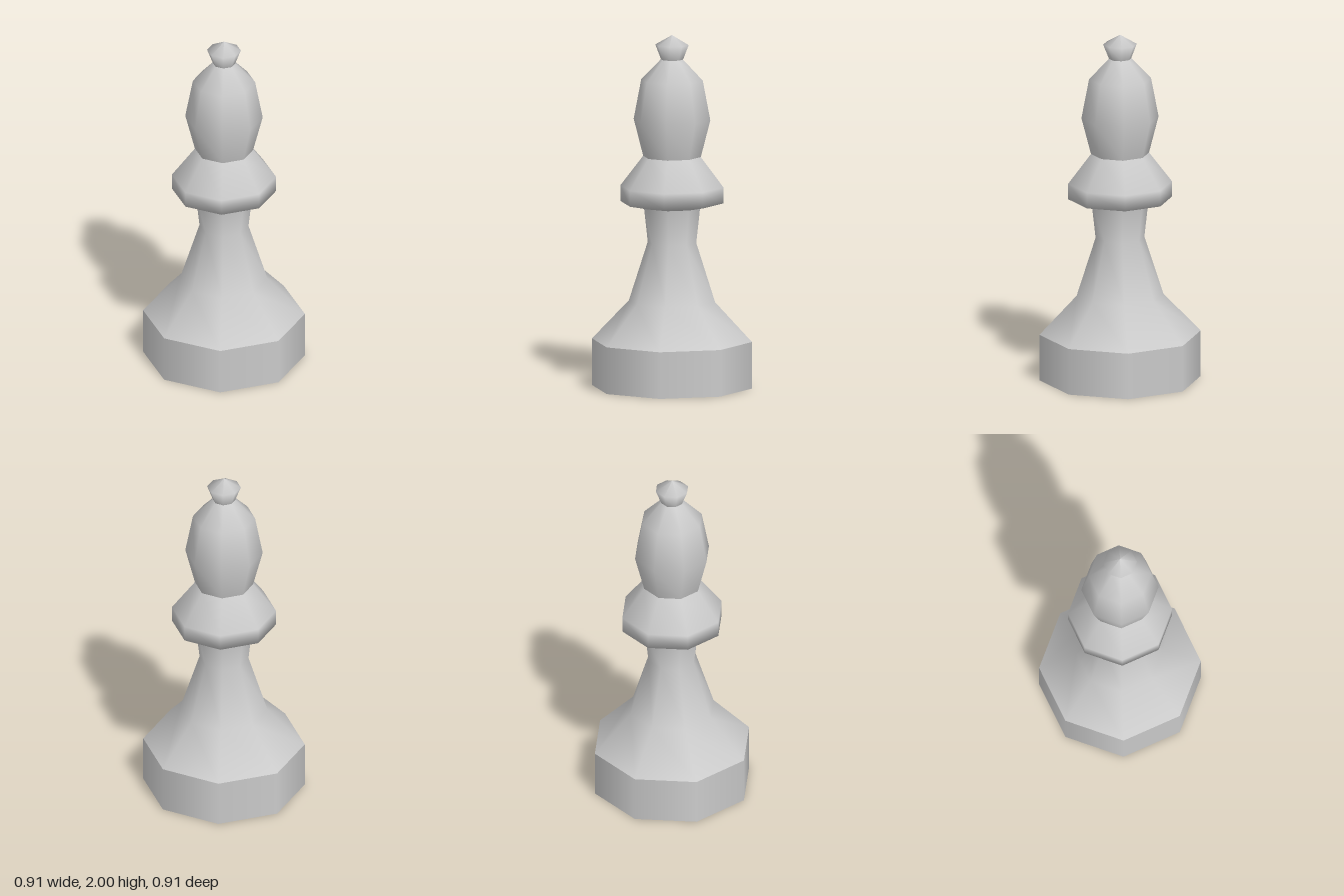
import * as THREE from 'three';

const SIDES = 8;

// Each part is an eight-sided turned profile: [radius, height], bottom to top.
// Separate parts keep the edge between them sharp.
const PROFILES = {
  baseBottom: [[0, 0], [0.455, 0]],
  baseRim: [[0.455, 0], [0.455, 0.265]],
  stem: [[0.455, 0.265], [0.245, 0.487], [0.138, 0.822], [0.16, 1.022]],
  collar: [[0.16, 1.022], [0.293, 1.05], [0.293, 1.14], [0.164, 1.31]],
  head: [[0.164, 1.31], [0.218, 1.52], [0.175, 1.745], [0.063, 1.862]],
  finial: [[0.063, 1.862], [0.095, 1.945], [0, 2]],
};

export function createModel() {
  const model = new THREE.Group();
  model.name = 'chessBishop';
  const material = new THREE.MeshStandardMaterial({ color: 0xcccccc });

  for (const [name, profile] of Object.entries(PROFILES)) {
    const points = profile.map(([r, y]) => new THREE.Vector2(r, y));
    const mesh = new THREE.Mesh(new THREE.LatheGeometry(points, SIDES), material);
    mesh.name = name;
    model.add(mesh);
  }
  return model;
}
